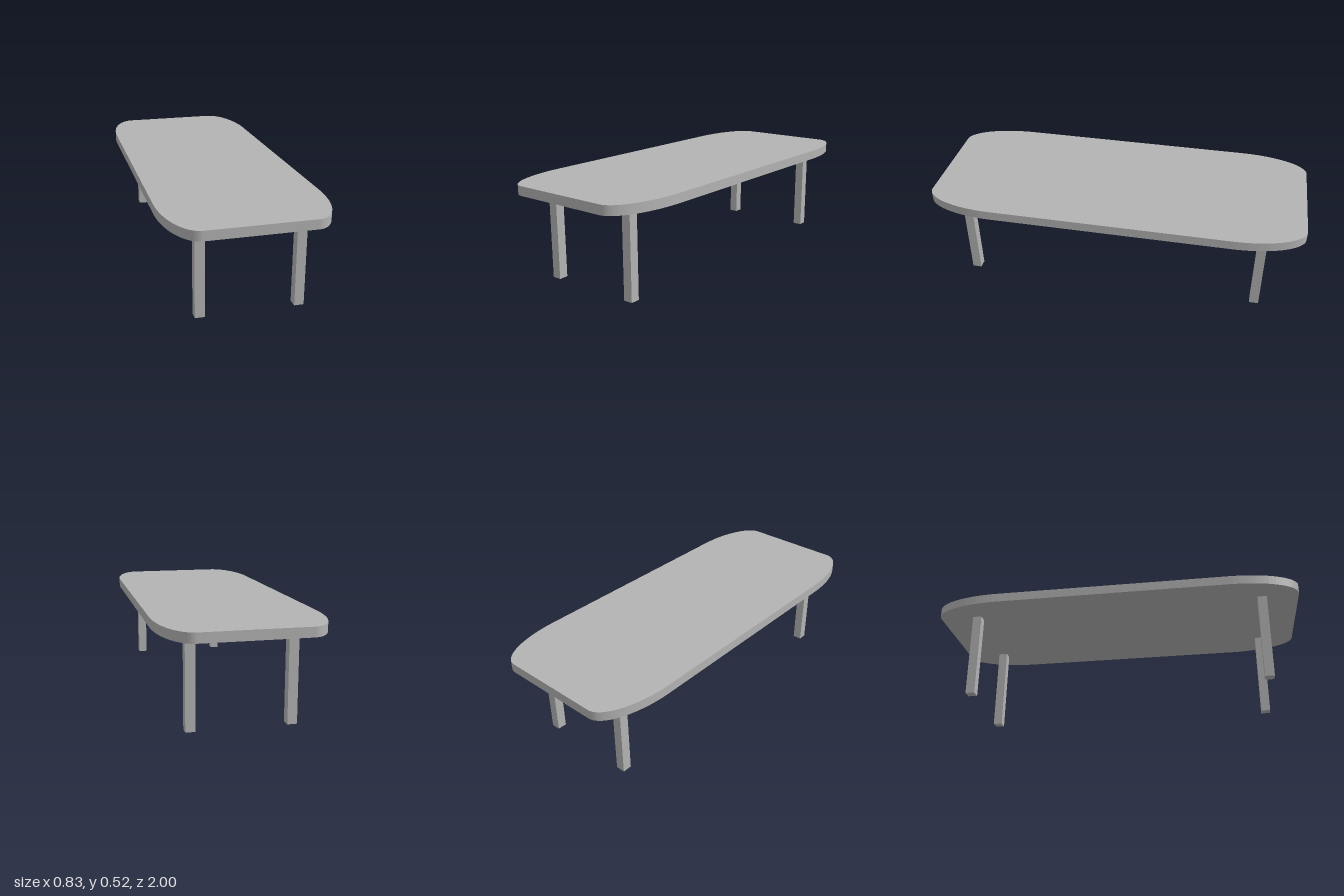
import * as THREE from 'three';

export function createModel() {
  const model = new THREE.Group();
  const grey = new THREE.MeshStandardMaterial({ color: 0xb3b3b3 });
  grey.name = 'grey';

  const W = 0.415, L = 1, RX = 0.15, RZ = 0.37; // half sizes and corner radii
  const LEG_H = 0.467, TOP_T = 0.049;

  // Table top: rectangle with elliptical corners
  const outline = new THREE.Shape();
  [[1, 1], [-1, 1], [-1, -1], [1, -1]].forEach(([sx, sy], i) => {
    const a = i * Math.PI / 2;
    outline.absellipse(sx * (W - RX), sy * (L - RZ), RX, RZ, a, a + Math.PI / 2, false, 0);
  });
  outline.closePath();
  const topGeo = new THREE.ExtrudeGeometry(outline, { depth: TOP_T, bevelEnabled: false, curveSegments: 12 });
  topGeo.rotateX(-Math.PI / 2);
  const top = new THREE.Mesh(topGeo, grey);
  top.name = 'tableTop';
  top.position.y = LEG_H;
  model.add(top);

  // Four square legs, set slightly off centre
  const legGeo = new THREE.BoxGeometry(0.049, LEG_H, 0.049);
  for (const [z, end] of [[0.806, 'front'], [-0.788, 'back']]) {
    for (const [x, side] of [[0.258, 'Left'], [-0.24, 'Right']]) {
      const leg = new THREE.Mesh(legGeo, grey);
      leg.name = `${end}${side}Leg`;
      leg.position.set(x, LEG_H / 2, z);
      model.add(leg);
    }
  }
  return model;
}
